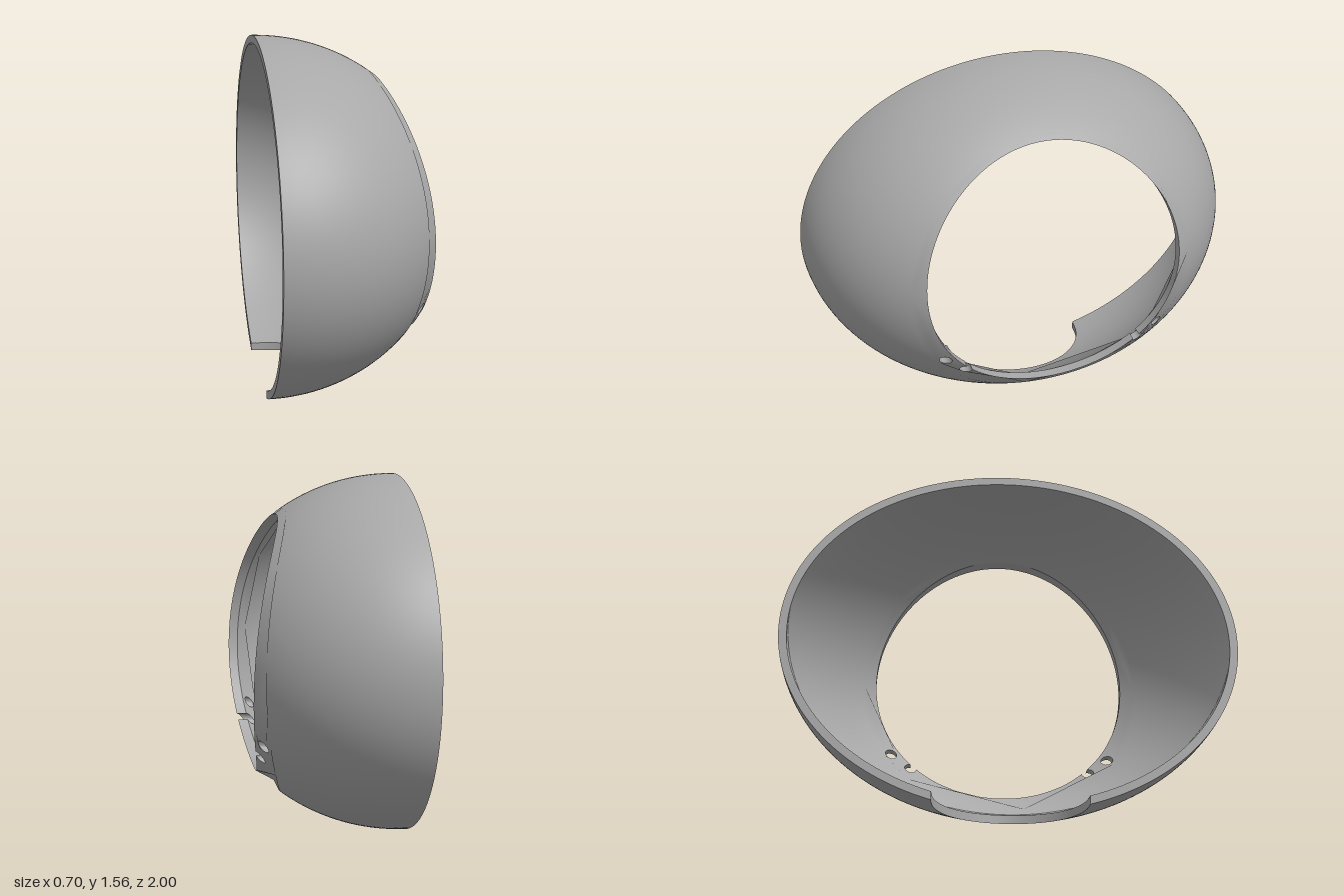
import * as THREE from 'three';
import { toCreasedNormals } from 'three/addons/utils/BufferGeometryUtils.js';

const CX = -0.35, CY = 0.76;              // ellipsoid centre (back plane at CX)
const HOLE_Y = 0.807, HOLE_R = 0.58;      // large round opening, cut along x
const PIN_R = 0.026, CUT_R = 0.33;        // small holes, bottom cut-out
const CORNER = 0.336;                     // angle where the cut-out meets the back rim
const OUTER = new THREE.Vector3(0.857, 0.805, 1.0);
const INNER = OUTER.clone().subScalar(0.036);

// Angles measured from the bottom, with exact steps at the cut-out corners
const angles = [];
for (let i = 0; i < 32; i++) angles.push(-CORNER + (2 * CORNER * i) / 32);
for (let i = 0; i < 144; i++) angles.push(CORNER + ((2 * Math.PI - 2 * CORNER) * i) / 144);

// Outlines are 2D points (z, y)
const polar = (r, t) => new THREE.Vector2(r * Math.sin(t), HOLE_Y - r * Math.cos(t));
const pinCircle = (z, y) => Array.from({ length: 24 }, (_, i) => {
  const t = (i / 24) * 2 * Math.PI;
  return new THREE.Vector2(z + PIN_R * Math.sin(t), y - PIN_R * Math.cos(t));
});

// Large opening with two round notches in its edge
function openingOutline() {
  const items = angles.map((t) => ({ t, pts: [polar(HOLE_R, t)] }));
  let kept = items;
  for (const s of [-1, 1]) {
    const c = new THREE.Vector2(s * 0.41, 0.37);
    const d = Math.hypot(c.x, HOLE_Y - c.y), t = Math.atan2(c.x, HOLE_Y - c.y);
    const end = Math.acos((HOLE_R ** 2 - d * d - PIN_R ** 2) / (2 * d * PIN_R));
    const pts = [];
    for (let k = 0; k <= 20; k++) {
      const a = t - end + (2 * end * k) / 20;
      pts.push(new THREE.Vector2(c.x + PIN_R * Math.sin(a), c.y - PIN_R * Math.cos(a)));
    }
    kept = kept.filter((o) => o.pts.length > 1 || o.pts[0].distanceTo(c) > PIN_R + 0.001);
    kept.push({ t: t < -CORNER ? t + 2 * Math.PI : t, pts });
  }
  return kept.sort((a, b) => a.t - b.t).flatMap((o) => o.pts);
}

const opening = openingOutline();
const pins = [-1, 1].map((s) => pinCircle(s * 0.5, 0.435));
const collar = angles.map((t) => polar(0.64 + 0.035 * Math.cos(t), t));

// Unit-sphere direction of an outline point projected along x
function project(p, S) {
  const y = (p.y - CY) / S.y, z = p.x / S.z;
  return new THREE.Vector3(Math.sqrt(Math.max(0, 1 - y * y - z * z)), y, z);
}

const place = (n, S) => n.clone().multiply(S).add(new THREE.Vector3(CX, CY, 0));

// Back edge: ellipse on the back plane, dipping forward round the cut-out
function backEdge(S) {
  const c = Math.asin(CUT_R / S.z);
  return angles.map((t) => {
    if (t < CORNER - 1e-6) {
      const a = (t / CORNER) * Math.PI / 2;
      const x = CUT_R * Math.cos(a) / S.x, z = CUT_R * Math.sin(a) / S.z;
      return new THREE.Vector3(x, -Math.sqrt(1 - x * x - z * z), z);
    }
    const f = c + ((t - CORNER) / (2 * Math.PI - 2 * CORNER)) * (2 * Math.PI - 2 * c);
    return new THREE.Vector3(0, -Math.cos(f), Math.sin(f));
  });
}

// One skin of the shell: pierced collar plus rings sweeping to the back edge
function skin(S, outward) {
  const pos = [], nor = [], index = [];
  const add = (n) => {
    pos.push(...place(n, S).toArray());
    nor.push(...n.clone().divide(S).normalize().multiplyScalar(outward ? 1 : -1).toArray());
  };
  const tri = (a, b, c) => (outward ? index.push(a, b, c) : index.push(a, c, b));

  const flat = [...collar, ...opening, ...pins.flat()];
  flat.forEach((p) => add(project(p, S)));
  for (const [a, b, c] of THREE.ShapeUtils.triangulateShape(collar, [opening, ...pins])) {
    if (THREE.ShapeUtils.area([flat[a], flat[b], flat[c]]) < 0) tri(a, b, c);
    else tri(a, c, b);
  }

  const base = flat.length, rows = 28, N = angles.length, edge = backEdge(S);
  for (let j = 0; j <= rows; j++) {
    for (let i = 0; i < N; i++) {
      const p = project(collar[i], S), w = p.angleTo(edge[i]), u = j / rows;
      add(p.multiplyScalar(Math.sin((1 - u) * w) / Math.sin(w))
        .addScaledVector(edge[i], Math.sin(u * w) / Math.sin(w)));
    }
  }
  for (let j = 0; j < rows; j++) {
    for (let i = 0; i < N; i++) {
      const k = (i + 1) % N, a = base + j * N, b = a + N;
      tri(a + i, a + k, b + i);
      tri(a + k, b + k, b + i);
    }
  }
  const g = new THREE.BufferGeometry();
  g.setAttribute('position', new THREE.Float32BufferAttribute(pos, 3));
  g.setAttribute('normal', new THREE.Float32BufferAttribute(nor, 3));
  g.setIndex(index);
  return g;
}

// Closed band joining two matching loops
function band(A, B) {
  const n = A.length, index = [];
  for (let i = 0; i < n; i++) {
    const k = (i + 1) % n;
    index.push(i, n + i, k, k, n + i, n + k);
  }
  const g = new THREE.BufferGeometry().setFromPoints([...A, ...B]);
  g.setIndex(index);
  return toCreasedNormals(g, 0.6);
}

export function createModel() {
  const group = new THREE.Group();
  group.name = 'domedShell';
  const grey = new THREE.MeshStandardMaterial({ color: 0xa8a8a8 });
  grey.name = 'grey';
  const part = (name, geometry) => {
    const mesh = new THREE.Mesh(geometry, grey);
    mesh.name = name;
    group.add(mesh);
  };
  const wall = (pts) => band(...[OUTER, INNER].map((S) => pts.map((p) => place(project(p, S), S))));

  part('outerSkin', skin(OUTER, true));
  part('innerSkin', skin(INNER, false));
  part('openingEdge', wall(opening));
  pins.forEach((p, i) => part(i ? 'leftPinHole' : 'rightPinHole', wall(p)));
  // Back rim, including the wall of the bottom cut-out
  part('backRim', band(...[INNER, OUTER].map((S) => backEdge(S).map((n) => place(n, S)))));
  return group;
}
